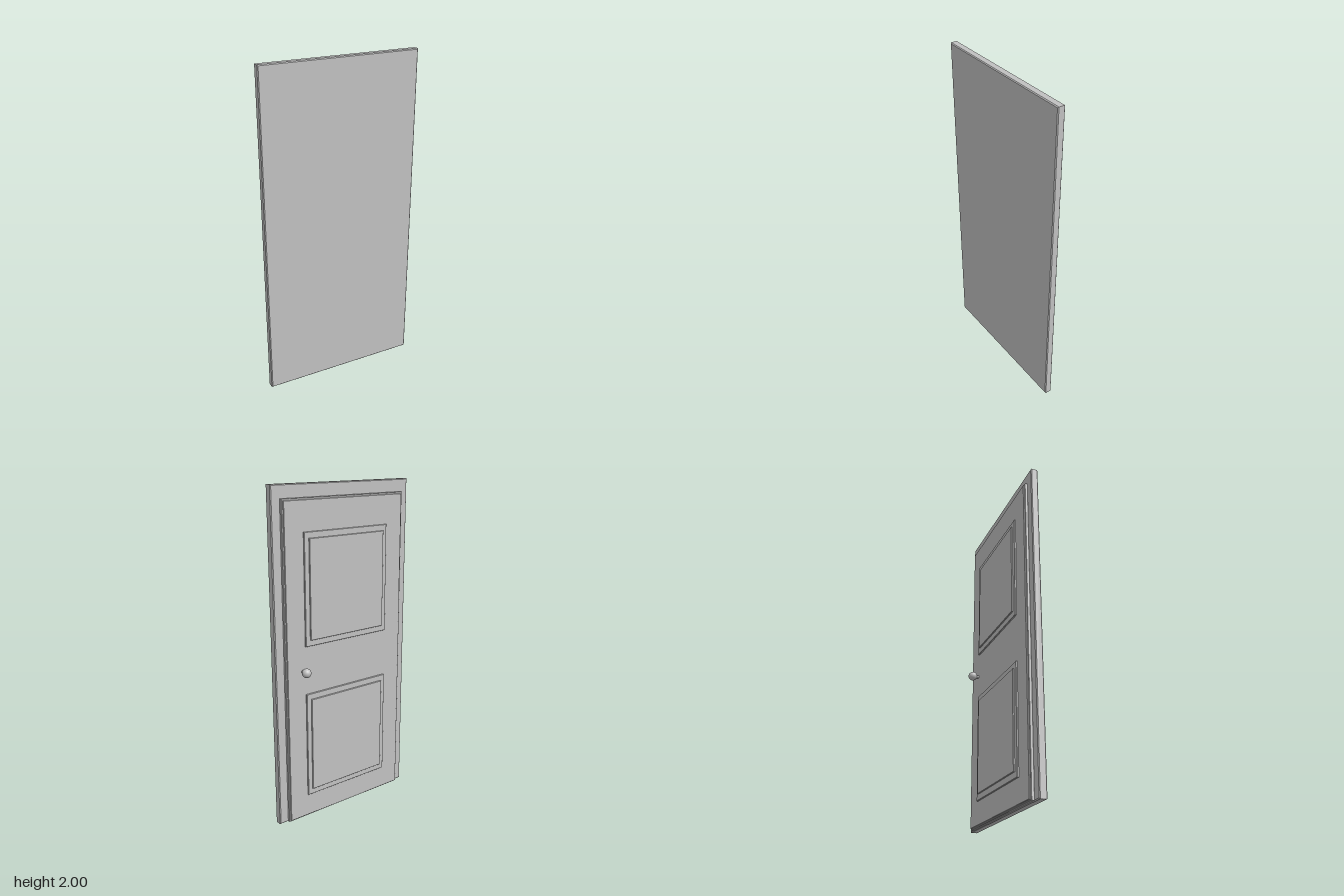
import * as THREE from 'three';

const paint = new THREE.MeshStandardMaterial({ color: 0xc0c0c0 });
paint.name = 'light grey';

// Box with chamfered edges, given by its extents (symmetric in x)
function slab(name, halfWidth, y0, y1, z0, z1, bevel) {
  const w = halfWidth - bevel, lo = y0 + bevel, hi = y1 - bevel;
  const shape = new THREE.Shape([
    new THREE.Vector2(-w, lo), new THREE.Vector2(w, lo),
    new THREE.Vector2(w, hi), new THREE.Vector2(-w, hi),
  ]);
  const geometry = new THREE.ExtrudeGeometry(shape, {
    depth: z1 - z0 - 2 * bevel,
    bevelEnabled: true, bevelSegments: 1, bevelSize: bevel, bevelThickness: bevel,
  });
  geometry.translate(0, 0, z0 + bevel);
  const mesh = new THREE.Mesh(geometry, paint);
  mesh.name = name;
  return mesh;
}

export function createModel() {
  const door = new THREE.Group();
  door.name = 'door';

  // Backing frame and the two stepped layers of the door leaf
  door.add(
    slab('frame', 0.489, 0, 2, 0.022, 0.067, 0.005),
    slab('leafBase', 0.433, 0.003, 1.925, 0.005, 0.023, 0.002),
    slab('leaf', 0.424, 0.01, 1.915, -0.002, 0.007, 0.002),
  );

  // Two raised panels, each with a smaller raised field
  for (const [name, y0, y1] of [['upperPanel', 1.09, 1.742], ['lowerPanel', 0.148, 0.8]]) {
    const panel = new THREE.Group();
    panel.name = name;
    panel.add(
      slab('panelBorder', 0.3, y0, y1, -0.011, 0, 0.002),
      slab('panelField', 0.27, y0 + 0.035, y1 - 0.035, -0.019, -0.009, 0.002),
    );
    door.add(panel);
  }

  // Round knob on a short stem
  const knob = new THREE.Group();
  knob.name = 'knob';
  const stem = new THREE.Mesh(new THREE.CylinderGeometry(0.01, 0.01, 0.038, 24), paint);
  stem.name = 'knobStem';
  stem.rotation.x = Math.PI / 2;
  stem.position.z = -0.02;
  const ball = new THREE.Mesh(new THREE.SphereGeometry(0.0272, 32, 20), paint);
  ball.name = 'knobBall';
  ball.position.z = -0.04;
  knob.add(stem, ball);
  knob.position.set(0.32, 0.945, 0);
  door.add(knob);

  return door;
}
